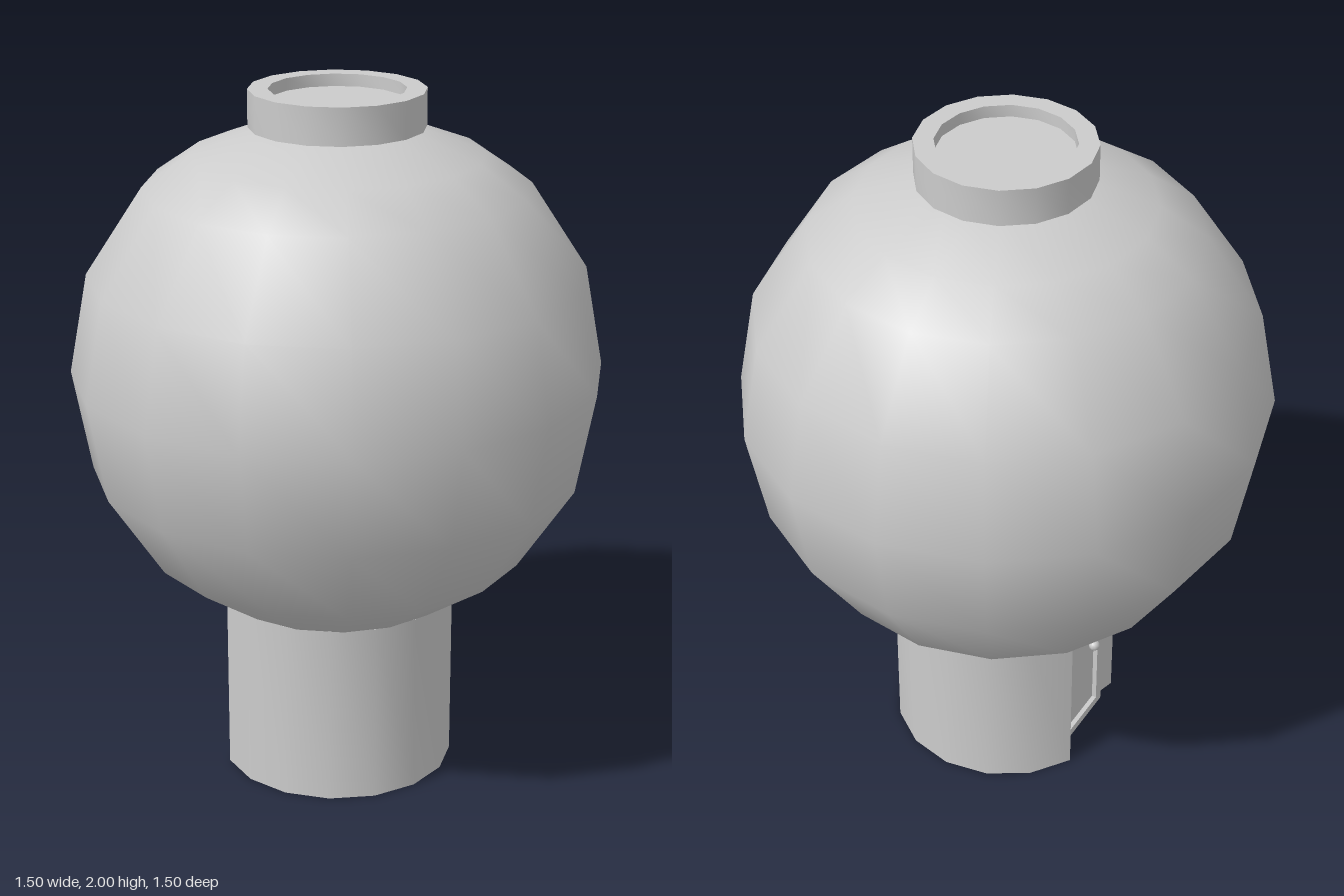
import * as THREE from 'three';
import { toCreasedNormals } from 'three/addons/utils/BufferGeometryUtils.js';

const SIDES = 16;
const TURN = -0.08; // slight twist shared by all round parts
const material = new THREE.MeshStandardMaterial({ color: 0xcccccc });

function addMesh(parent, name, geometry) {
  const mesh = new THREE.Mesh(geometry, material);
  mesh.name = name;
  parent.add(mesh);
  return mesh;
}

// Profile points are [radius, height], listed from the bottom up.
function lathe(profile, crease) {
  const points = profile.map(([r, y]) => new THREE.Vector2(r, y));
  return toCreasedNormals(new THREE.LatheGeometry(points, SIDES, TURN), crease);
}

// Round neck with a notch cut for the door; outline points are [x, z].
function neckGeometry() {
  const outline = [];
  for (let i = 0; i <= 13; i++) {
    const a = THREE.MathUtils.degToRad(190 + (294.5 * i) / 13);
    outline.push([0.336 * Math.cos(a), 0.336 * Math.sin(a)]);
  }
  outline.push([-0.19, 0.01], [-0.285, -0.08]);
  const shape = new THREE.Shape(outline.map(([x, z]) => new THREE.Vector2(x, -z)));
  const geometry = new THREE.ExtrudeGeometry(shape, { depth: 0.53, bevelEnabled: false });
  geometry.rotateX(-Math.PI / 2);
  return toCreasedNormals(geometry, 0.5);
}

function rectangle(Type, w, h) {
  const path = new Type();
  path.moveTo(-w / 2, -h / 2);
  path.lineTo(w / 2, -h / 2);
  path.lineTo(w / 2, h / 2);
  path.lineTo(-w / 2, h / 2);
  path.closePath();
  return path;
}

export function createModel() {
  const model = new THREE.Group();
  model.name = 'roundHouse';

  // Big smooth globe, closed where it meets the neck and the collar
  addMesh(model, 'globe', lathe([
    [0, 0.53], [0.34, 0.53], [0.54, 0.665], [0.7, 0.91], [0.753, 1.2],
    [0.7, 1.485], [0.54, 1.73], [0.41, 1.82], [0.2, 1.9], [0, 1.9],
  ], 0.6));

  // Collar with a shallow recess on top
  addMesh(model, 'collar', lathe([
    [0, 1.895], [0.246, 1.895], [0.246, 2], [0.19, 2], [0.19, 1.965], [0, 1.965],
  ], 0.6));

  addMesh(model, 'neck', neckGeometry());

  // Slanted door set in the notch: local z points outward
  const door = new THREE.Group();
  door.name = 'door';
  door.position.set(-0.257, 0.28, 0.05);
  door.rotation.y = Math.atan2(-0.966, 0.257);
  model.add(door);

  addMesh(door, 'doorPanel', new THREE.BoxGeometry(0.27, 0.5, 0.06)).position.z = -0.035;

  const frame = rectangle(THREE.Shape, 0.27, 0.5);
  frame.holes.push(rectangle(THREE.Path, 0.21, 0.45));
  addMesh(door, 'doorFrame', new THREE.ExtrudeGeometry(frame, { depth: 0.015, bevelEnabled: false }))
    .position.z = -0.006;

  addMesh(door, 'doorKnob', new THREE.SphereGeometry(0.017, 10, 8)).position.set(0.085, 0.01, 0.008);

  return model;
}
